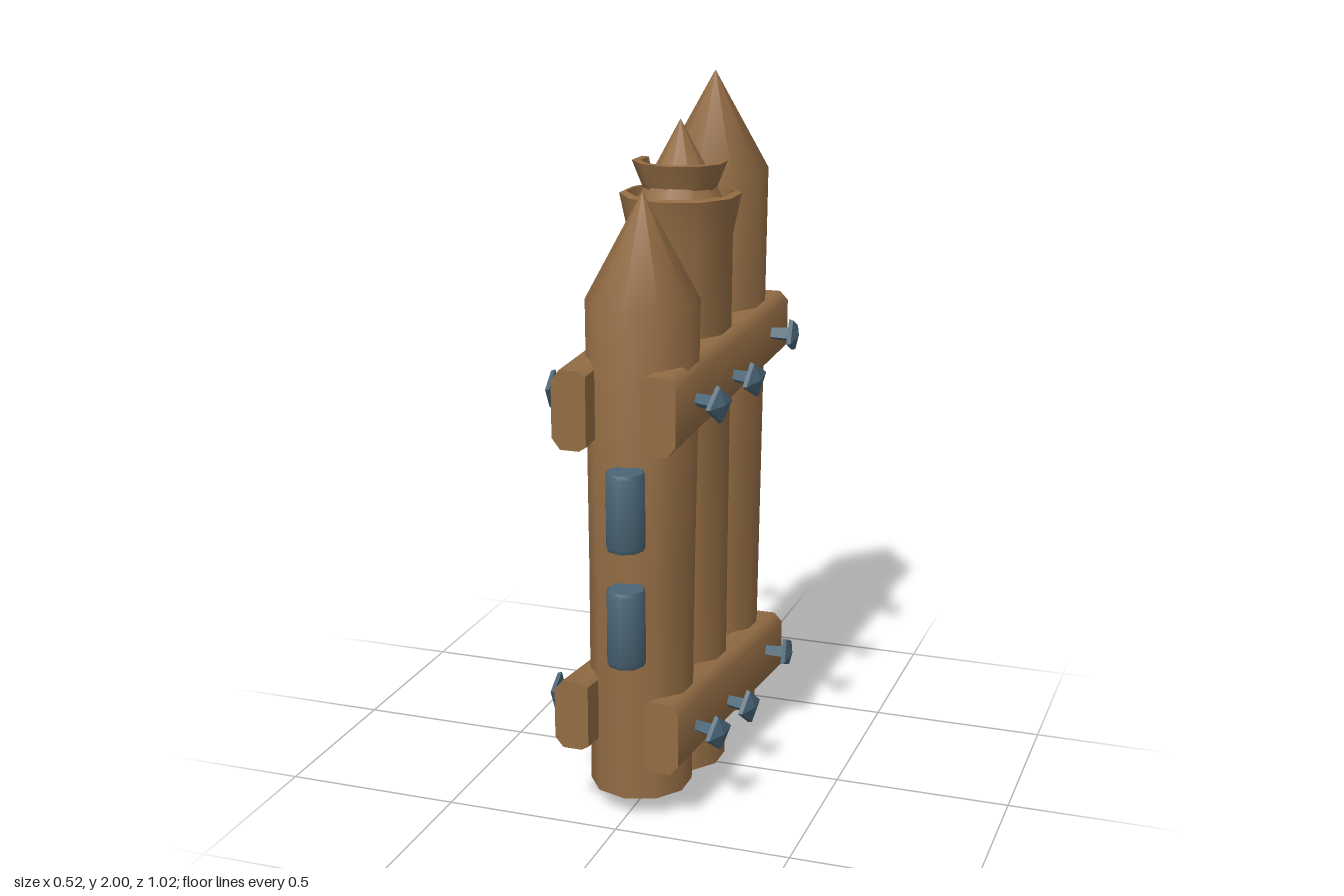
import * as THREE from 'three';
import { toCreasedNormals } from 'three/addons/utils/BufferGeometryUtils.js';

const wood = new THREE.MeshStandardMaterial({ color: 0x936c44 });
wood.name = 'wood';
const iron = new THREE.MeshStandardMaterial({ color: 0x4a6576 });
iron.name = 'iron';

const lerp = THREE.MathUtils.lerp;

function part(name, geometry, material, crease = 0.9) {
  const mesh = new THREE.Mesh(toCreasedNormals(geometry, crease), material);
  mesh.name = name;
  return mesh;
}

function lathe(points, sides, start = 0, length = Math.PI * 2) {
  return new THREE.LatheGeometry(points.map(([r, y]) => new THREE.Vector2(r, y)), sides, start, length);
}

// Sharpened log standing at depth z; the foot is shifted a little for a lean
function post(name, z, footZ, profile) {
  const g = lathe(profile, 10);
  const p = g.attributes.position;
  for (let i = 0; i < p.count; i++) {
    const t = Math.min(p.getY(i) / 1.5, 1);
    p.setXYZ(i, p.getX(i) + lerp(-0.002, 0.006, t), p.getY(i), p.getZ(i) + lerp(footZ, z, t));
  }
  return part(name, g, wood);
}

// Cross beam: chamfered section extruded from back to front, then slanted.
// Each end is [z, inner x, bottom y, height]
function beam(name, side, back, front) {
  const T = 0.098, c = 0.024;
  const section = [[0, 0.06], [0.02, 0], [T - c, 0], [T, 0.14], [T, 0.86], [T - c, 1], [0.02, 1], [0, 0.94]];
  const shape = new THREE.Shape(section.map(([x, y]) => new THREE.Vector2(side * x, y)));
  const g = new THREE.ExtrudeGeometry(shape, { depth: 1, steps: 4, bevelEnabled: false });
  const p = g.attributes.position;
  for (let i = 0; i < p.count; i++) {
    const t = p.getZ(i);
    const [z, x, y, h] = back.map((v, k) => lerp(v, front[k], t));
    p.setXYZ(i, p.getX(i) + side * x, y + p.getY(i) * h, z);
  }
  return part(name, g, wood);
}

// Square-headed nail driven into a beam, pointing outward
function nail(side, y, z, yaw, roll) {
  const group = new THREE.Group();
  group.name = 'nail';
  const shaft = part('nailShaft', new THREE.CylinderGeometry(0.024, 0.018, 0.09, 4), iron, 0.3);
  shaft.position.y = 0.045;
  const head = part('nailHead', new THREE.CylinderGeometry(0.05, 0.054, 0.012, 4), iron, 0.3);
  head.position.y = 0.092;
  const crown = part('nailCrown', new THREE.ConeGeometry(0.05, 0.014, 4), iron, 0.1);
  crown.position.y = 0.105;
  for (const m of [shaft, head, crown]) {
    m.rotation.y = roll;
    group.add(m);
  }
  group.position.set(side * 0.15, y, z);
  group.rotation.set(0, yaw, -side * Math.PI / 2);
  return group;
}

export function createModel() {
  const model = new THREE.Group();
  model.name = 'palisade';

  // Three posts; the middle one has a flared, hollow rim around its point
  model.add(post('frontPost', 0.278, 0.285,
    [[0, 0.065], [0.143, 0.065], [0.146, 0.7], [0.155, 1.46], [0, 1.75]]));
  model.add(post('middlePost', -0.03, -0.032,
    [[0, 0.005], [0.14, 0.005], [0.142, 0.8], [0.146, 1.58], [0.17, 1.695], [0.15, 1.7], [0.14, 1.64], [0, 1.9]]));
  model.add(post('backPost', -0.337, -0.345,
    [[0, 0.052], [0.138, 0.052], [0.146, 0.8], [0.155, 1.72], [0, 2.0]]));

  // Split bark collar, open at the back
  const bark = part('barkCollar', lathe(
    [[0.1, 1.7], [0.134, 1.785], [0.11, 1.785], [0.085, 1.7], [0.1, 1.7]], 6, -1.92, 3.84), wood, 0.7);
  bark.material = wood.clone();
  bark.material.side = THREE.DoubleSide;
  bark.material.name = 'bark';
  bark.position.set(0.004, 0, -0.03);
  bark.scale.z = 0.9;
  model.add(bark);

  // Four cross beams
  model.add(beam('upperLeftBeam', 1, [-0.5, 0.087, 1.145, 0.185], [0.455, 0.062, 1.08, 0.215]));
  model.add(beam('lowerLeftBeam', 1, [-0.49, 0.087, 0.105, 0.195], [0.435, 0.062, 0.16, 0.21]));
  model.add(beam('upperRightBeam', -1, [-0.505, 0.063, 1.155, 0.2], [0.46, 0.09, 1.075, 0.22]));
  model.add(beam('lowerRightBeam', -1, [-0.51, 0.063, 0.14, 0.2], [0.47, 0.09, 0.215, 0.2]));

  // Nails: side, height, depth, yaw, roll
  const nails = [
    [1, 1.2, 0.29, -0.35, 0.1], [1, 1.19, -0.02, -0.3, 0.25], [1, 1.235, -0.35, 0.05, 0.35],
    [1, 0.25, 0.28, -0.35, 0.15], [1, 0.21, 0.005, -0.25, 0.1], [1, 0.235, -0.34, 0.05, 0.4],
    [-1, 1.2, 0.31, 0.1, 0.2], [-1, 1.21, -0.04, 0.25, 0.3], [-1, 1.23, -0.34, -0.35, 0.1],
    [-1, 0.31, 0.31, 0.05, 0.3], [-1, 0.26, -0.04, 0.25, 0.1], [-1, 0.25, -0.34, -0.35, 0.2],
  ];
  for (const n of nails) model.add(nail(...n));

  // Hinge barrels on the front post, with slightly chamfered ends
  for (const y of [0.815, 0.485]) {
    const hinge = part('hingeBarrel', lathe(
      [[0, 0], [0.05, 0], [0.056, 0.012], [0.056, 0.206], [0.05, 0.218], [0, 0.218]], 8), iron);
    hinge.position.set(0.02, y, 0.458);
    model.add(hinge);
  }

  return model;
}
